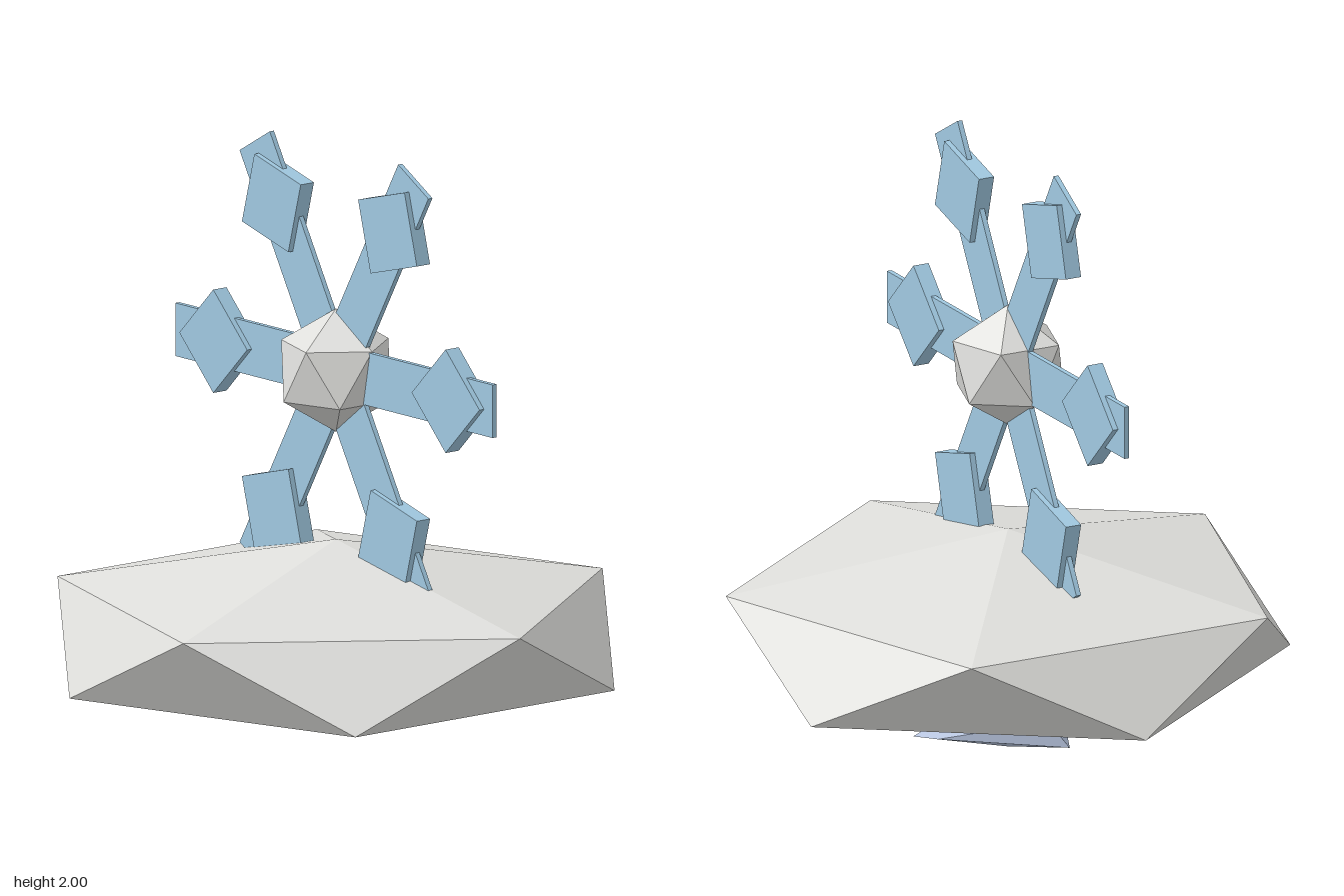
import * as THREE from 'three';
import { ConvexGeometry } from 'three/addons/geometries/ConvexGeometry.js';

const material = (name, color) => {
  const m = new THREE.MeshStandardMaterial({ color });
  m.name = name;
  return m;
};

// Twelve-cornered stone standing on a vertex, stretched to a width and a height
function stone(ringRadius, halfHeight) {
  const points = [new THREE.Vector3(0, halfHeight, 0), new THREE.Vector3(0, -halfHeight, 0)];
  const ringY = halfHeight / Math.sqrt(5);
  for (let i = 0; i < 5; i++) {
    const a = (i * Math.PI * 2) / 5;
    const p = new THREE.Vector3(ringRadius * Math.cos(a), ringY, ringRadius * Math.sin(a));
    points.push(p, p.clone().negate());
  }
  return new ConvexGeometry(points);
}

export function createModel() {
  const model = new THREE.Group();
  model.name = 'snowflakeOnMound';
  const snow = material('snow white', 0xdededb);
  const ice = material('ice blue', 0xa0c8e0);
  const shade = material('pale slate blue', 0xb8c6e0);

  const add = (parent, name, geometry, mat, x, y, z = 0) => {
    const mesh = new THREE.Mesh(geometry, mat);
    mesh.name = name;
    mesh.position.set(x, y, z);
    parent.add(mesh);
    return mesh;
  };

  // Faceted mound and the hub floating above it
  add(model, 'mound', stone(0.967, 0.325), snow, 0, 0.325);
  add(model, 'hub', stone(0.19, 0.2125), snow, 0, 1.2325);

  // Six flat arms, each with a thicker diamond plate
  const flake = new THREE.Group();
  flake.name = 'snowflake';
  flake.position.y = 1.2325;
  model.add(flake);
  const armGeometry = new THREE.BoxGeometry(0.833, 0.183, 0.018);
  const plateGeometry = new THREE.BoxGeometry(0.252, 0.252, 0.058);
  for (let i = 0; i < 6; i++) {
    const arm = new THREE.Group();
    arm.name = 'arm' + (i + 1);
    arm.rotation.z = (i * Math.PI) / 3;
    flake.add(arm);
    add(arm, 'armBar', armGeometry, ice, 0.4165, 0);
    add(arm, 'armDiamond', plateGeometry, ice, 0.61, 0).rotation.z = Math.PI / 4;
  }

  // Lump of ice half buried in the underside
  const lump = [
    [-0.36, 0.022, 0.03], [-0.345, 0.01, -0.195], [-0.78, 0.13, -0.19], [-0.54, 0.15, -0.565],
    [-0.34, 0.1, -0.55], [-0.15, 0.06, -0.17], [-0.74, 0.22, -0.25], [-0.42, 0.26, -0.28],
  ].map((p) => new THREE.Vector3(...p));
  add(model, 'buriedIce', new ConvexGeometry(lump), shade, 0, 0);

  return model;
}
